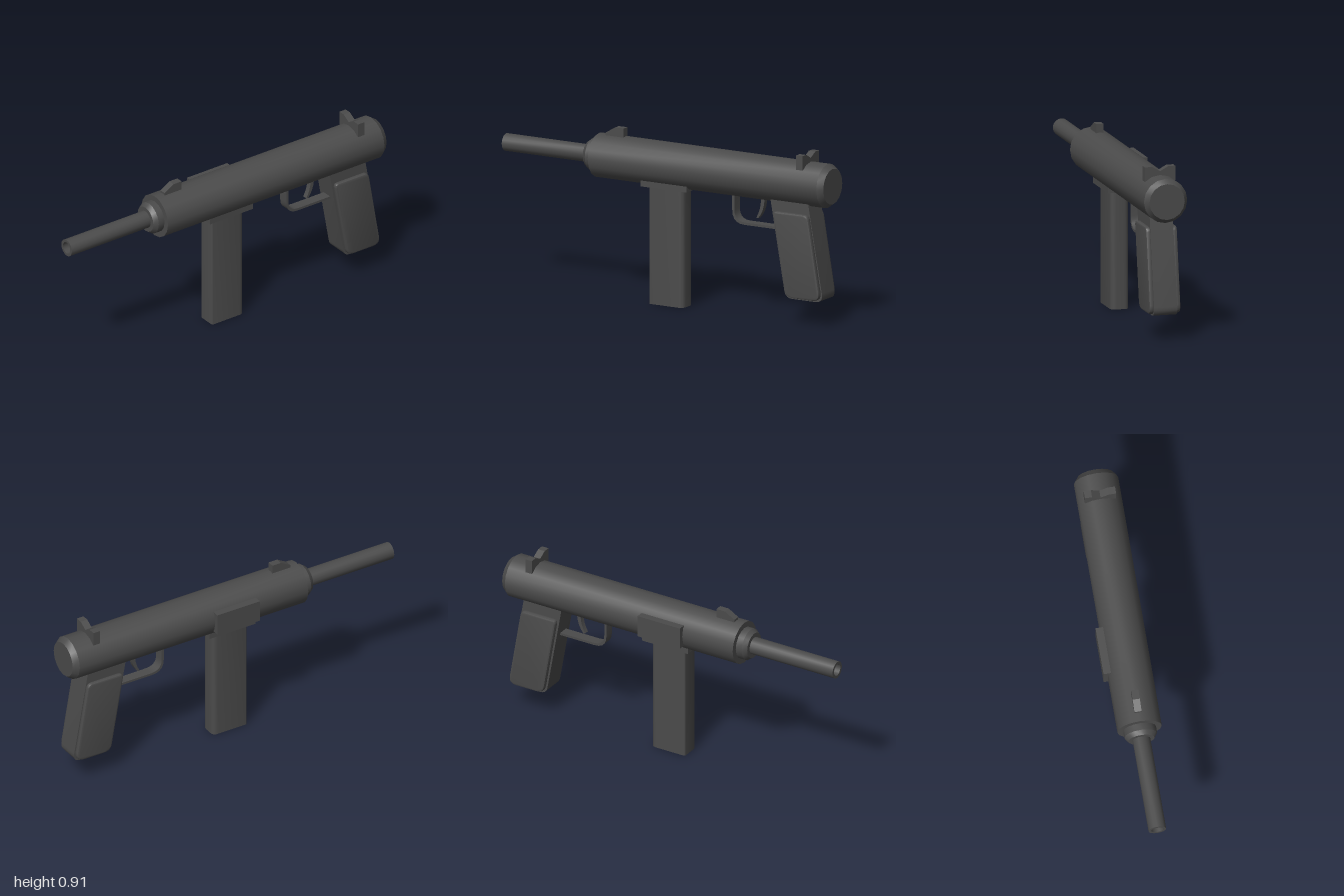
import * as THREE from 'three';
import { toCreasedNormals } from 'three/addons/utils/BufferGeometryUtils.js';

const CY = 0.751; // height of the tube axis
const CZ = 0.012; // depth of the centre plane

export function createModel() {
  const model = new THREE.Group();
  const metal = new THREE.MeshStandardMaterial({ color: 0x4b4b4b });
  metal.name = 'dark gunmetal';

  function add(name, geometry, x = 0, y = 0, z = 0) {
    const mesh = new THREE.Mesh(toCreasedNormals(geometry, 0.5), metal);
    mesh.name = name;
    mesh.position.set(x, y, z);
    model.add(mesh);
    return mesh;
  }

  // Turned part along x; points are [radius, x] in increasing x on the outside
  function turned(name, points, sides) {
    const geometry = new THREE.LatheGeometry(points.map(([r, x]) => new THREE.Vector2(r, x)), sides);
    geometry.rotateZ(-Math.PI / 2);
    return add(name, geometry, 0, CY, CZ);
  }

  // Closed outline whose corners [x, y, radius] are rounded
  function outline(corners) {
    const shape = new THREE.Shape();
    const n = corners.length;
    corners.forEach(([x, y, r = 0], i) => {
      const p = new THREE.Vector2(x, y);
      const toward = (c) => new THREE.Vector2(c[0], c[1]).sub(p).setLength(r).add(p);
      const a = toward(corners[(i + n - 1) % n]);
      const b = toward(corners[(i + 1) % n]);
      if (i === 0) shape.moveTo(a.x, a.y);
      else shape.lineTo(a.x, a.y);
      if (r > 0) shape.quadraticCurveTo(x, y, b.x, b.y);
    });
    shape.closePath();
    return shape;
  }

  // Side profile extruded from z0 to z1
  function slab(name, shape, z0, z1, bevel = 0) {
    const geometry = new THREE.ExtrudeGeometry(shape, {
      depth: z1 - z0 - 2 * bevel, curveSegments: 5, bevelEnabled: bevel > 0,
      bevelSize: bevel, bevelThickness: bevel, bevelOffset: -bevel, bevelSegments: 2,
    });
    return add(name, geometry, 0, 0, z0 + bevel);
  }

  function box(name, x0, x1, y0, y1, z0, z1) {
    return add(name, new THREE.BoxGeometry(x1 - x0, y1 - y0, z1 - z0),
      (x0 + x1) / 2, (y0 + y1) / 2, (z0 + z1) / 2);
  }

  // Receiver, front collar and hollow barrel
  turned('receiver', [[0, -0.43], [0.118, -0.43], [0.118, 0.97], [0.096, 1], [0, 1]], 16);
  turned('barrelCollar', [[0, -0.49], [0.07, -0.49], [0.087, -0.467], [0.087, -0.42]], 16);
  turned('barrel', [[0, -0.9], [0.032, -0.9], [0.032, -1], [0.047, -1], [0.047, -0.48]], 16);

  // Side plate on the back
  box('sidePlate', -0.12, 0.14, 0.69, 0.81, -0.128, -0.06);

  // Magazine with its housing
  const magazine = new THREE.ExtrudeGeometry(
    outline([[-0.095, -0.062, 0.008], [0.112, -0.062, 0.03], [0.112, 0.038, 0.03], [-0.095, 0.038, 0.008]]),
    { depth: 0.66, bevelEnabled: false, curveSegments: 5 });
  magazine.rotateX(-Math.PI / 2);
  add('magazine', magazine);
  box('magazineHousing', -0.13, 0.15, 0.632, 0.665, -0.066, 0.09);

  // Grip core and a raised panel on each side
  slab('grip', outline([[0.652, 0.68], [0.883, 0.68], [0.98, 0.135, 0.05], [0.748, 0.135, 0.04]]), -0.051, 0.075);
  const panel = outline([[0.678, 0.597, 0.025], [0.894, 0.597, 0.025], [0.971, 0.143, 0.05], [0.757, 0.143, 0.04]]);
  slab('gripPanelFront', panel, 0.065, 0.097, 0.009);
  slab('gripPanelBack', panel, -0.073, -0.041, 0.009);

  // Trigger guard: a thin bent strip
  const guard = new THREE.Shape();
  guard.moveTo(0.401, 0.65);
  guard.lineTo(0.401, 0.56);
  guard.quadraticCurveTo(0.401, 0.488, 0.475, 0.488);
  guard.lineTo(0.71, 0.488);
  guard.lineTo(0.71, 0.501);
  guard.lineTo(0.478, 0.501);
  guard.quadraticCurveTo(0.414, 0.501, 0.414, 0.562);
  guard.lineTo(0.414, 0.65);
  guard.closePath();
  slab('triggerGuard', guard, CZ - 0.028, CZ + 0.028);

  // Curved trigger
  const trigger = new THREE.Shape();
  trigger.moveTo(0.568, 0.65);
  trigger.quadraticCurveTo(0.572, 0.585, 0.54, 0.532);
  trigger.lineTo(0.551, 0.53);
  trigger.quadraticCurveTo(0.592, 0.575, 0.59, 0.65);
  trigger.closePath();
  slab('trigger', trigger, CZ - 0.014, CZ + 0.014);

  // Front sight ramp
  slab('frontSight', outline([[-0.38, 0.85], [-0.27, 0.85], [-0.27, 0.914], [-0.322, 0.914], [-0.38, 0.88]]), CZ - 0.019, CZ + 0.019);

  // Rear sight: notched plate across the tube
  const notch = new THREE.ExtrudeGeometry(
    outline([[-0.083, 0.837], [0.083, 0.837], [0.083, 0.914], [0.045, 0.914], [0, 0.889], [-0.045, 0.914], [-0.083, 0.914]]),
    { depth: 0.04, bevelEnabled: false });
  notch.rotateY(Math.PI / 2);
  add('rearSight', notch, 0.825, 0, CZ);

  return model;
}
